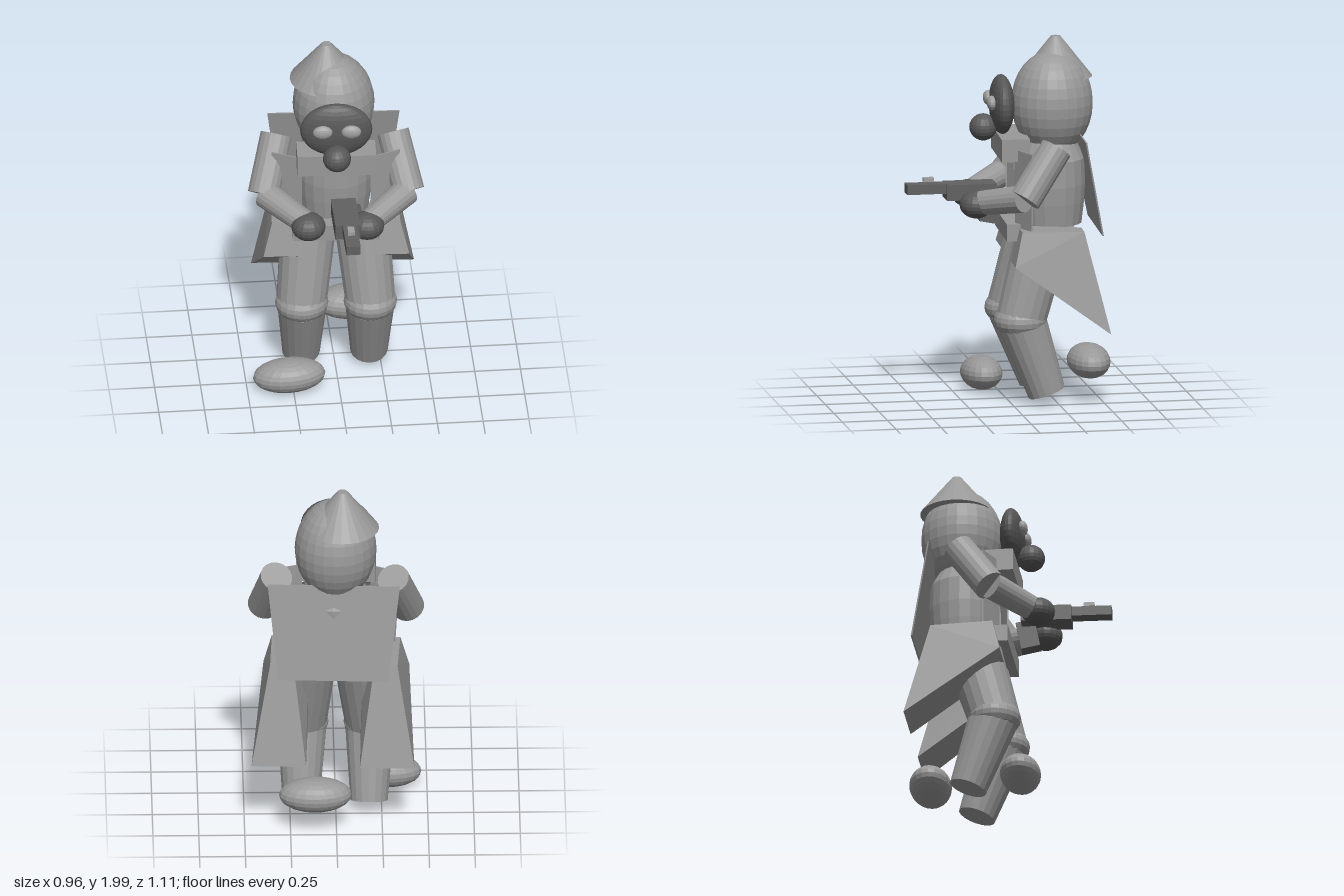
import * as THREE from 'three';
import { ConvexGeometry } from 'three/addons/geometries/ConvexGeometry.js';

const V = (x, y, z) => new THREE.Vector3(x, y, z);

function material(name, color) {
  const m = new THREE.MeshStandardMaterial({ color });
  m.name = name;
  m.flatShading = true;
  return m;
}

export function createModel() {
  const cloth = material('grey cloth', 0x999999);
  const lens = material('pale lens', 0xa0a0a0);
  const rubber = material('dark rubber', 0x585858);
  const metal = material('gun metal', 0x616161);

  const model = new THREE.Group();
  model.name = 'hoodedSoldier';

  // The figure is symmetric but turned slightly; the gun and boots are not
  const figure = new THREE.Group();
  figure.name = 'figure';
  figure.position.x = -0.006;
  figure.rotation.y = -0.05;
  model.add(figure);

  const add = (parent, name, geometry, mat) => {
    const mesh = new THREE.Mesh(geometry, mat);
    mesh.name = name;
    parent.add(mesh);
    return mesh;
  };
  const ball = (parent, name, mat, c, r, ws = 20, hs = 14) => {
    const m = add(parent, name, new THREE.SphereGeometry(1, ws, hs), mat);
    m.position.set(...c);
    m.scale.set(...r);
    return m;
  };
  const box = (parent, name, mat, c, s) => {
    const m = add(parent, name, new THREE.BoxGeometry(...s), mat);
    m.position.set(...c);
    return m;
  };
  // Tapered cylinder between two points
  const limb = (name, a, b, ra, rb) => {
    const dir = b.clone().sub(a);
    const m = add(figure, name, new THREE.CylinderGeometry(rb, ra, dir.length(), 18), cloth);
    m.position.copy(a).lerp(b, 0.5);
    m.quaternion.setFromUnitVectors(V(0, 1, 0), dir.normalize());
    return m;
  };
  // Thin flat panel: corners doubled through a small depth
  const panel = (name, corners, t = 0.008) => {
    const pts = corners.flatMap(([x, y, z]) => [V(x, y, z - t / 2), V(x, y, z + t / 2)]);
    return add(figure, name, new ConvexGeometry(pts), cloth);
  };

  // Head and pointed hood
  ball(figure, 'hood', cloth, [-0.005, 1.64, -0.256], [0.223, 0.285, 0.223], 24, 16);
  const peak = add(figure, 'hoodPeak', new THREE.CylinderGeometry(0.026, 0.2, 0.22, 24), cloth);
  peak.position.set(-0.043, 1.89, -0.28);

  // Gas mask
  ball(figure, 'mask', rubber, [-0.002, 1.637, 0.022], [0.197, 0.162, 0.066], 24, 16);
  ball(figure, 'maskFilter', rubber, [-0.002, 1.513, 0.123], [0.077, 0.074, 0.076], 18, 12);

  // Torso, collar, belt and back cape
  const profile = [[0, 0.98], [0.172, 0.98], [0.186, 1.1], [0.192, 1.2], [0.187, 1.34], [0.13, 1.45], [0, 1.47]];
  const torso = add(figure, 'torso',
    new THREE.LatheGeometry(profile.map(([r, y]) => new THREE.Vector2(r, y)), 20), cloth);
  torso.position.z = -0.245;
  torso.scale.x = 1.08;
  box(figure, 'collar', cloth, [0, 1.418, -0.027], [0.43, 0.125, 0.155]);
  box(figure, 'belt', cloth, [0, 0.967, -0.012], [0.475, 0.095, 0.075]);
  panel('backCape', [
    [-0.36, 1.48, -0.395], [0.36, 1.48, -0.395], [0.3, 0.95, -0.495], [-0.3, 0.95, -0.495],
  ]);

  for (const s of [-1, 1]) {
    const side = s > 0 ? 'left' : 'right';

    ball(figure, side + 'Eye', lens, [s * 0.078, 1.66, 0.087], [0.054, 0.04, 0.027], 16, 10);

    // Coat front
    panel(side + 'CoatFront', [
      [s * 0.187, 1.42, -0.03], [s * 0.35, 1.42, -0.1], [s * 0.325, 0.99, -0.1], [s * 0.187, 0.99, -0.03],
    ]);

    // Flared coat skirt, cut away towards the front
    add(figure, side + 'CoatSkirt', new ConvexGeometry([
      V(s * 0.15, 0.99, -0.045), V(s * 0.35, 0.99, -0.045),
      V(s * 0.14, 0.805, 0), V(s * 0.397, 0.805, 0),
      V(s * 0.22, 0.985, -0.385), V(s * 0.347, 0.985, -0.385),
      V(s * 0.147, 0.43, -0.52), V(s * 0.444, 0.43, -0.52),
    ]), cloth);

    // Arm and hand
    limb(side + 'UpperArm', V(s * 0.318, 1.447, -0.235), V(s * 0.395, 1.18, -0.052), 0.088, 0.088);
    limb(side + 'Forearm', V(s * 0.385, 1.185, -0.045), V(s * 0.17, 1.125, 0.165), 0.076, 0.066);
    ball(figure, side + 'Hand', rubber, [s * 0.16, 1.116, 0.183], [0.094, 0.076, 0.092], 16, 12);

    // Leg
    limb(side + 'Thigh', V(s * 0.14, 0.96, -0.19), V(s * 0.187, 0.48, -0.06), 0.155, 0.138);
    ball(figure, side + 'Knee', cloth, [s * 0.187, 0.475, -0.055], [0.146, 0.1, 0.146], 20, 12);
    limb(side + 'Shin', V(s * 0.185, 0.46, -0.065), V(s * 0.185, 0.07, -0.2), 0.136, 0.103);
  }

  // Boots
  const frontBoot = ball(model, 'rightBoot', cloth, [-0.272, 0.1, 0.085], [0.198, 0.093, 0.112], 20, 12);
  frontBoot.rotation.z = 0.05;
  ball(model, 'leftBoot', cloth, [0.115, 0.222, -0.437], [0.198, 0.094, 0.116], 20, 12);

  // Gun
  const gun = new THREE.Group();
  gun.name = 'gun';
  model.add(gun);
  box(gun, 'receiver', metal, [0.025, 1.173, 0.205], [0.136, 0.087, 0.275]);
  box(gun, 'barrel', metal, [0.036, 1.194, 0.445], [0.078, 0.054, 0.23]);
  box(gun, 'sight', lens, [0.034, 1.242, 0.436], [0.037, 0.022, 0.058]);
  const magazine = box(gun, 'magazine', metal, [0.078, 1.085, 0.1], [0.085, 0.16, 0.105]);
  magazine.rotation.x = -0.2;

  return model;
}
